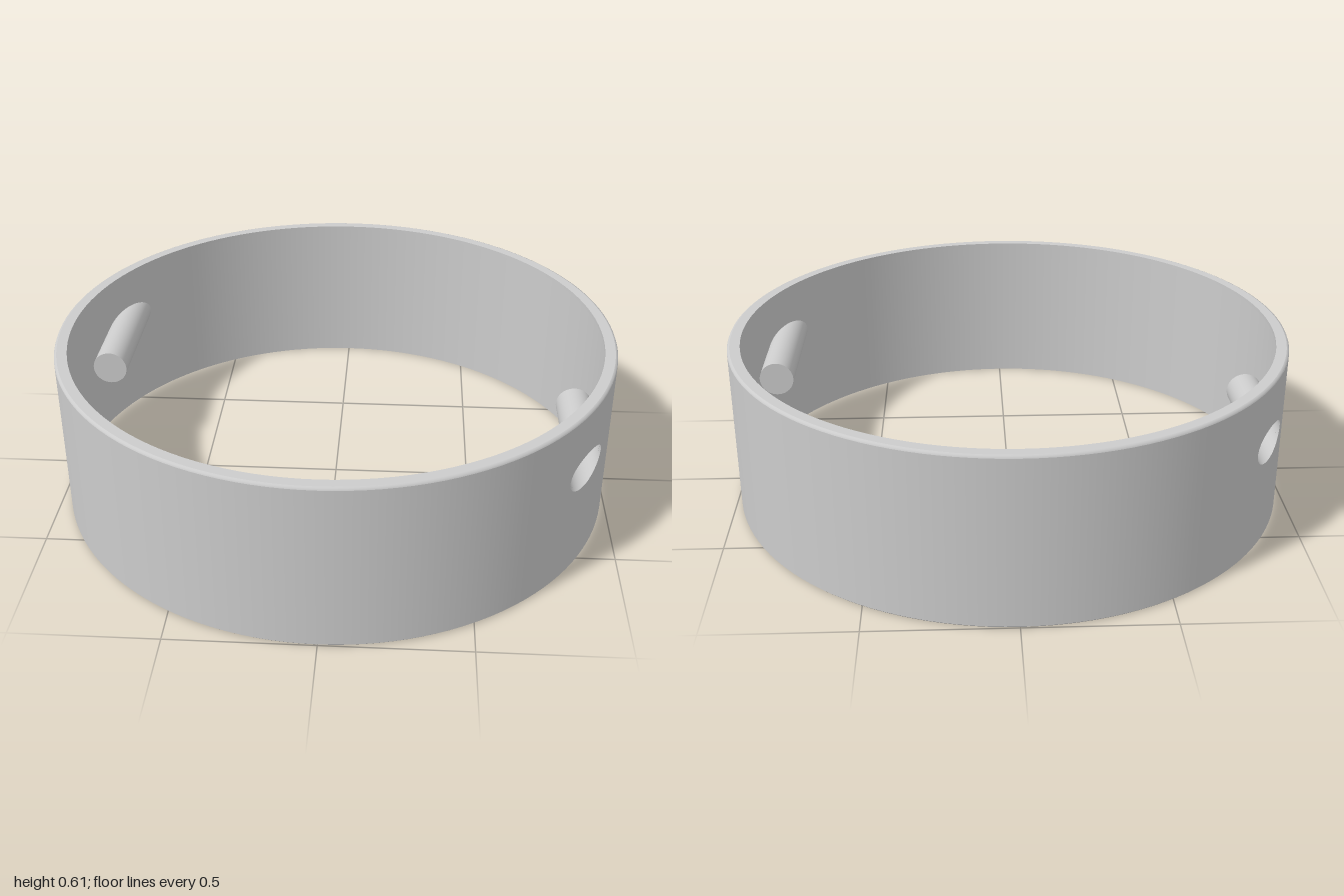
import * as THREE from 'three';
import { mergeGeometries } from 'three/addons/utils/BufferGeometryUtils.js';

const SEG = 128, STEP = Math.PI * 2 / SEG;
const R_OUT = 1, R_IN = 0.988, R_LIP = 0.955;      // shell and lip radii
const H = 0.605, EDGE = 0.009, T = 0.012;          // height, edge rounding, sheet thickness
const HOLE = { x: 0.8625, y: 0.375, r: 0.0625, end: 0.08 };
const T0 = 17 * STEP, T1 = 26 * STEP;              // angular span of the pierced panel

const material = new THREE.MeshStandardMaterial({ color: 0xcccccc, side: THREE.DoubleSide });

function mesh(name, geometry) {
  const m = new THREE.Mesh(geometry, material);
  m.name = name;
  return m;
}

// Revolve each strip separately so the edges between strips stay sharp
function revolve(strips, segments = SEG, start = 0, length = Math.PI * 2) {
  return mergeGeometries(strips.map(strip => new THREE.LatheGeometry(
    strip.map(([r, y]) => new THREE.Vector2(r, y)), segments, start, length)));
}

// Curved wall panel blended from the hole's edge out to a rectangle
function piercedPanel(R, y0, y1, inward) {
  const rect = [], nT = 18, nY = 16, rings = 8;
  const side = (n, ta, ya, tb, yb) => {
    for (let i = 0; i < n; i++) rect.push([ta + (tb - ta) * i / n, ya + (yb - ya) * i / n]);
  };
  side(nT, T0, y0, T1, y0);
  side(nY, T1, y0, T1, y1);
  side(nT, T1, y1, T0, y1);
  side(nY, T0, y1, T0, y0);

  const pos = [], nor = [], index = [], n = rect.length, s = inward ? -1 : 1;
  const tc = Math.asin(HOLE.x / R);
  for (let k = 0; k <= rings; k++) {
    for (const [t, y] of rect) {
      const a = Math.atan2((y - HOLE.y) / HOLE.r, (t - tc) / 0.127);
      const ht = Math.asin((HOLE.x + HOLE.r * Math.cos(a)) / R);
      const hy = HOLE.y + HOLE.r * Math.sin(a);
      const th = ht + (t - ht) * k / rings, h = hy + (y - hy) * k / rings;
      pos.push(R * Math.sin(th), h, R * Math.cos(th));
      nor.push(s * Math.sin(th), 0, s * Math.cos(th));
    }
  }
  for (let k = 0; k < rings; k++) {
    for (let i = 0; i < n; i++) {
      const a = k * n + i, b = k * n + (i + 1) % n, c = b + n, d = a + n;
      if (inward) index.push(a, b, c, a, c, d);
      else index.push(a, c, b, a, d, c);
    }
  }
  const g = new THREE.BufferGeometry();
  g.setAttribute('position', new THREE.Float32BufferAttribute(pos, 3));
  g.setAttribute('normal', new THREE.Float32BufferAttribute(nor, 3));
  g.setIndex(index);
  return g;
}

// Round pocket whose mouth is trimmed to the outer wall
function pocketTube() {
  const g = new THREE.CylinderGeometry(HOLE.r, HOLE.r, 1, 64, 1, true).rotateX(Math.PI / 2);
  const p = g.attributes.position;
  for (let i = 0; i < p.count; i++) {
    const x = p.getX(i) + HOLE.x;
    const z = p.getZ(i) > 0 ? Math.sqrt(R_OUT * R_OUT - x * x) : HOLE.end;
    p.setXYZ(i, x, p.getY(i) + HOLE.y, z);
  }
  return g;
}

export function createModel() {
  const group = new THREE.Group();
  group.name = 'ring';

  const outTop = H - EDGE, inTop = H - T, c = EDGE * 0.29;

  // Inward lip around the top with a rounded outer edge
  group.add(mesh('topLip', revolve([
    [[R_OUT, outTop], [R_OUT - c, H - c], [R_OUT - EDGE, H]],
    [[R_OUT - EDGE, H], [R_LIP, H]],
    [[R_LIP, H], [R_LIP, inTop]],
    [[R_LIP, inTop], [R_IN, inTop]],
  ])));

  // Thin bottom edge
  const b = 0.005;
  group.add(mesh('bottomEdge', revolve([
    [[R_IN, 0], [R_OUT - b, 0]],
    [[R_OUT - b, 0], [R_OUT, b]],
  ])));

  // Two identical halves, half a turn apart
  for (let i = 0; i < 2; i++) {
    const half = new THREE.Group();
    half.name = i ? 'rightHalf' : 'leftHalf';
    half.rotation.y = i * Math.PI;
    const plainSteps = SEG / 2 - 9;
    half.add(mesh('plainWall', revolve([
      [[R_OUT, b], [R_OUT, outTop]],
      [[R_IN, inTop], [R_IN, 0]],
    ], plainSteps, T1, plainSteps * STEP)));
    half.add(mesh('piercedOuterWall', piercedPanel(R_OUT, b, outTop, false)));
    half.add(mesh('piercedInnerWall', piercedPanel(R_IN, 0, inTop, true)));
    half.add(mesh('pocketTube', pocketTube()));
    const end = mesh('pocketEnd', new THREE.CircleGeometry(HOLE.r, 64));
    end.position.set(HOLE.x, HOLE.y, HOLE.end);
    half.add(end);
    group.add(half);
  }
  return group;
}
